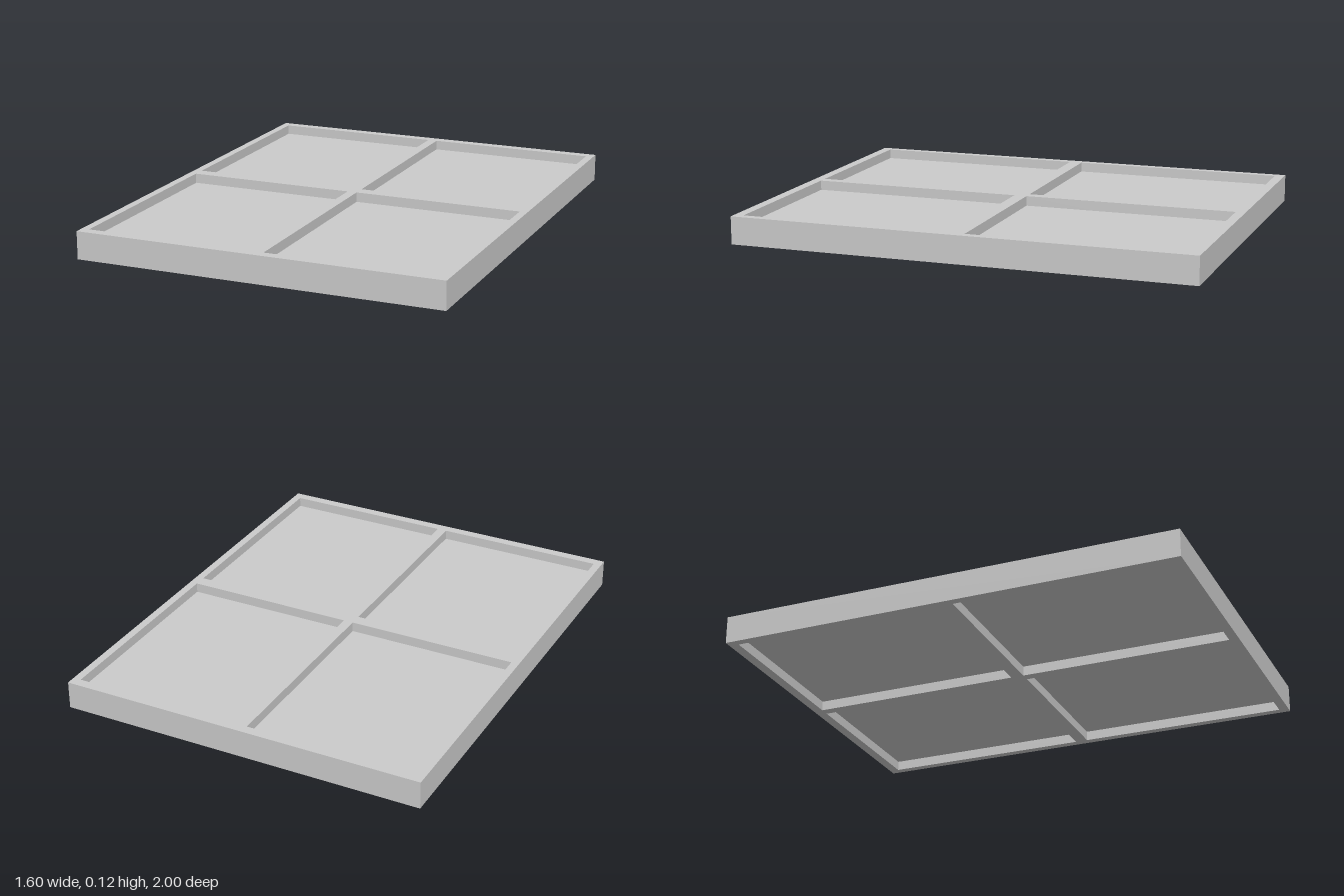
import * as THREE from 'three';

const W = 1.6, L = 2, H = 0.12;      // outer frame
const X0 = 0.021, X1 = 0.766;        // pane opening, across
const Z0 = 0.028, Z1 = 0.958;        // pane opening, along
const PANE = 0.035;                  // pane thickness

function rect(target, x0, y0, x1, y1) {
  target.moveTo(x0, y0);
  target.lineTo(x1, y0);
  target.lineTo(x1, y1);
  target.lineTo(x0, y1);
  target.closePath();
  return target;
}

export function createModel() {
  const group = new THREE.Group();
  group.name = 'windowPanel';
  const material = new THREE.MeshStandardMaterial({ color: 0xcccccc });

  const outline = rect(new THREE.Shape(), -W / 2, -L / 2, W / 2, L / 2);
  const paneGeometry = new THREE.BoxGeometry(X1 - X0, PANE, Z1 - Z0);

  for (const sx of [-1, 1]) {
    for (const sz of [-1, 1]) {
      const cx = sx * (X0 + X1) / 2, cz = sz * (Z0 + Z1) / 2;
      const hw = (X1 - X0) / 2, hl = (Z1 - Z0) / 2;

      // opening through the frame
      outline.holes.push(rect(new THREE.Path(), cx - hw, cz - hl, cx + hw, cz + hl));

      // pane recessed equally from both faces
      const pane = new THREE.Mesh(paneGeometry, material);
      pane.name = `${sz > 0 ? 'front' : 'back'}${sx > 0 ? 'Left' : 'Right'}Pane`;
      pane.position.set(cx, H / 2, cz);
      group.add(pane);
    }
  }

  // border and crossbars in one piece, laid flat
  const frameGeometry = new THREE.ExtrudeGeometry(outline, { depth: H, bevelEnabled: false });
  frameGeometry.rotateX(-Math.PI / 2);
  const frame = new THREE.Mesh(frameGeometry, material);
  frame.name = 'frame';
  group.add(frame);

  return group;
}
